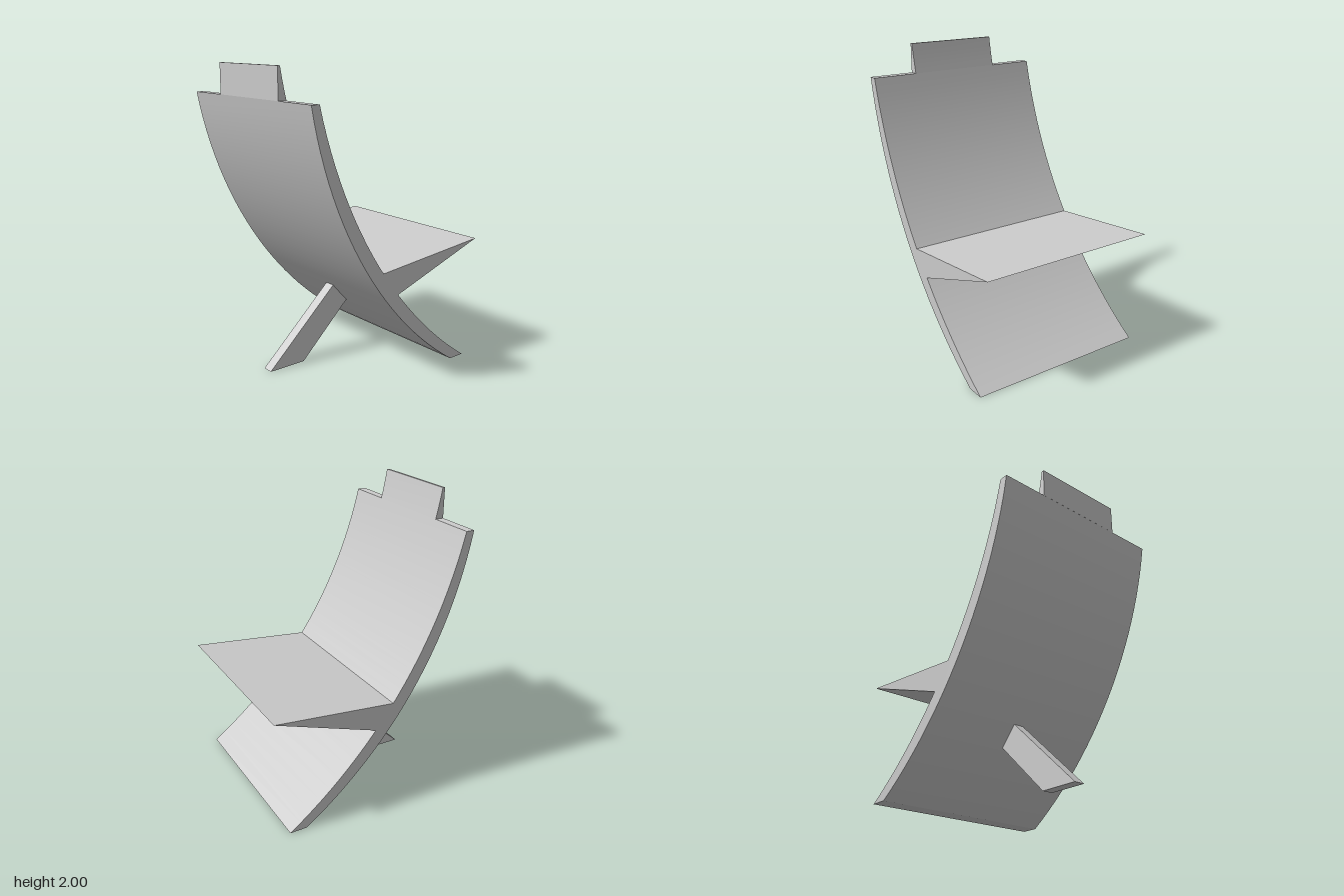
import * as THREE from 'three';
import { toCreasedNormals } from 'three/addons/utils/BufferGeometryUtils.js';

// Side-profile arcs in (z, y): the concave sitting face and the convex front face
const inner = { z: -2.346, y: 2.527, r: 3.072 };
const outer = { z: -2.013, y: 2.287, r: 2.753 };

// Points along an arc between two heights, evenly spaced by angle
function arc(c, y0, y1, n) {
  const a0 = Math.asin((y0 - c.y) / c.r);
  const a1 = Math.asin((y1 - c.y) / c.r);
  return Array.from({ length: n + 1 }, (_, i) => {
    const a = a0 + (a1 - a0) * i / n;
    return [c.z + c.r * Math.cos(a), c.y + c.r * Math.sin(a)];
  });
}

// Extrudes a (z, y) profile across x, centred on x = 0
function slab(name, points, width, material) {
  const shape = new THREE.Shape(points.map(([z, y]) => new THREE.Vector2(z, y)));
  const geometry = new THREE.ExtrudeGeometry(shape, { depth: width, bevelEnabled: false });
  geometry.translate(0, 0, -width / 2);
  geometry.rotateY(-Math.PI / 2);
  const mesh = new THREE.Mesh(toCreasedNormals(geometry, Math.PI / 8), material);
  mesh.name = name;
  return mesh;
}

export function createModel() {
  const group = new THREE.Group();
  group.name = 'chair';
  const material = new THREE.MeshStandardMaterial({ color: 0xcccccc });
  const width = 1.266;

  group.add(
    // Curved shell forming the backrest and the rear foot
    slab('backrest', [...arc(outer, 1.8, 0, 24), ...arc(inner, 0, 1.8, 24)], width, material),
    // Narrow tab on the top edge, flat in front and curved behind
    slab('headTab', [[0.697, 1.8], [0.697, 2], ...arc(inner, 2, 1.8, 4)], 0.64, material),
    // Wedge seat tapering to a sharp edge
    slab('seat', [[-0.69, 0.82], ...arc(inner, 0.573, 0.737, 4)], width, material),
    // Slanted front prop
    slab('frontLeg', [[0.6, 0], ...arc(outer, 0.49, 0.36, 3), [0.33, 0]], 0.074, material),
  );
  return group;
}
